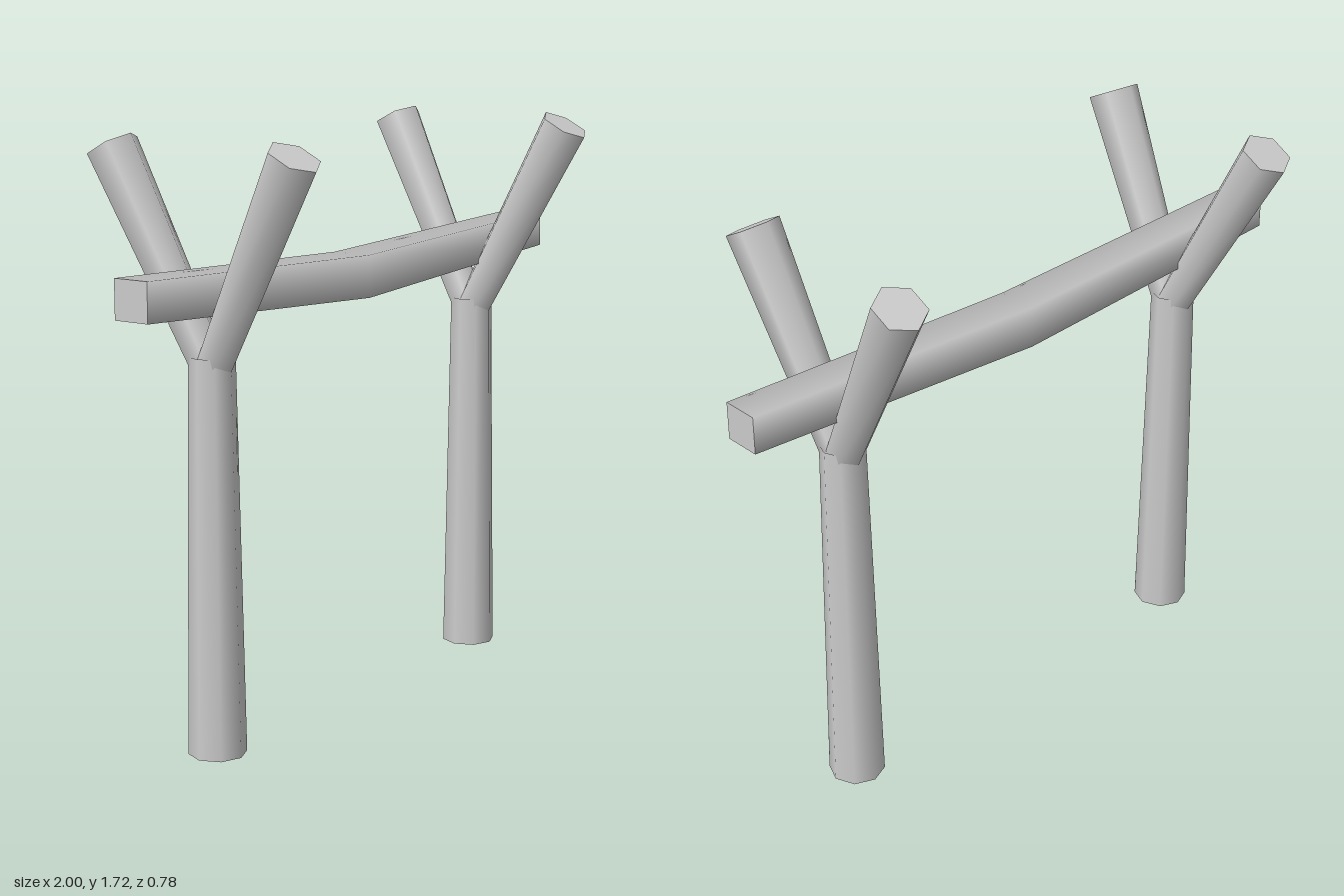
import * as THREE from 'three';

const grey = new THREE.MeshStandardMaterial({ color: 0xcccccc });
const greyOpen = new THREE.MeshStandardMaterial({ color: 0xcccccc, side: THREE.DoubleSide });

// Tapered round log between two points
function log(name, from, to, r0, r1, sides, open, material) {
  const a = new THREE.Vector3(...from), b = new THREE.Vector3(...to);
  const dir = b.clone().sub(a);
  const geo = new THREE.CylinderGeometry(r1, r0, dir.length(), sides, 1, open);
  const mesh = new THREE.Mesh(geo, material);
  mesh.name = name;
  mesh.position.copy(a).add(b).multiplyScalar(0.5);
  mesh.quaternion.setFromUnitVectors(new THREE.Vector3(0, 1, 0), dir.normalize());
  return mesh;
}

// Forked support: open-ended post with two prongs
function support(name, baseX, topX, frontTip, backTip) {
  const group = new THREE.Group();
  group.name = name;
  group.add(
    log('post', [baseX, 0, 0], [topX, 1.13, 0], 0.083, 0.065, 8, true, greyOpen),
    log('frontProng', [topX, 1.11, 0.012], frontTip, 0.056, 0.077, 6, false, grey),
    log('backProng', [topX, 1.11, -0.012], backTip, 0.056, 0.077, 6, false, grey)
  );
  return group;
}

// Square beam, sagging and thicker at the middle, with slightly pointed ends
function beam() {
  const geo = new THREE.CylinderGeometry(0.063 * Math.SQRT2, 0.063 * Math.SQRT2, 1.98, 4, 2);
  geo.rotateY(Math.PI / 4).rotateZ(-Math.PI / 2);
  const p = geo.attributes.position;
  for (let i = 0; i < p.count; i++) {
    const x = p.getX(i), y = p.getY(i), z = p.getZ(i);
    const t = Math.abs(x) / 0.99;
    const s = 1 - 0.12 * t;
    const isCapCentre = Math.hypot(y, z) < 0.001;
    p.setXYZ(i, isCapCentre ? Math.sign(x) : x, 1.275 + 0.045 * t + y * s, z * s - 0.003);
  }
  const mesh = new THREE.Mesh(geo, grey);
  mesh.name = 'beam';
  return mesh;
}

export function createModel() {
  const model = new THREE.Group();
  model.name = 'forkedSpit';
  model.add(
    support('rightSupport', -0.66, -0.664, [-0.705, 1.685, 0.312], [-0.685, 1.685, -0.322]),
    support('leftSupport', 0.657, 0.655, [0.675, 1.685, 0.318], [0.7, 1.685, -0.315]),
    beam()
  );
  return model;
}
